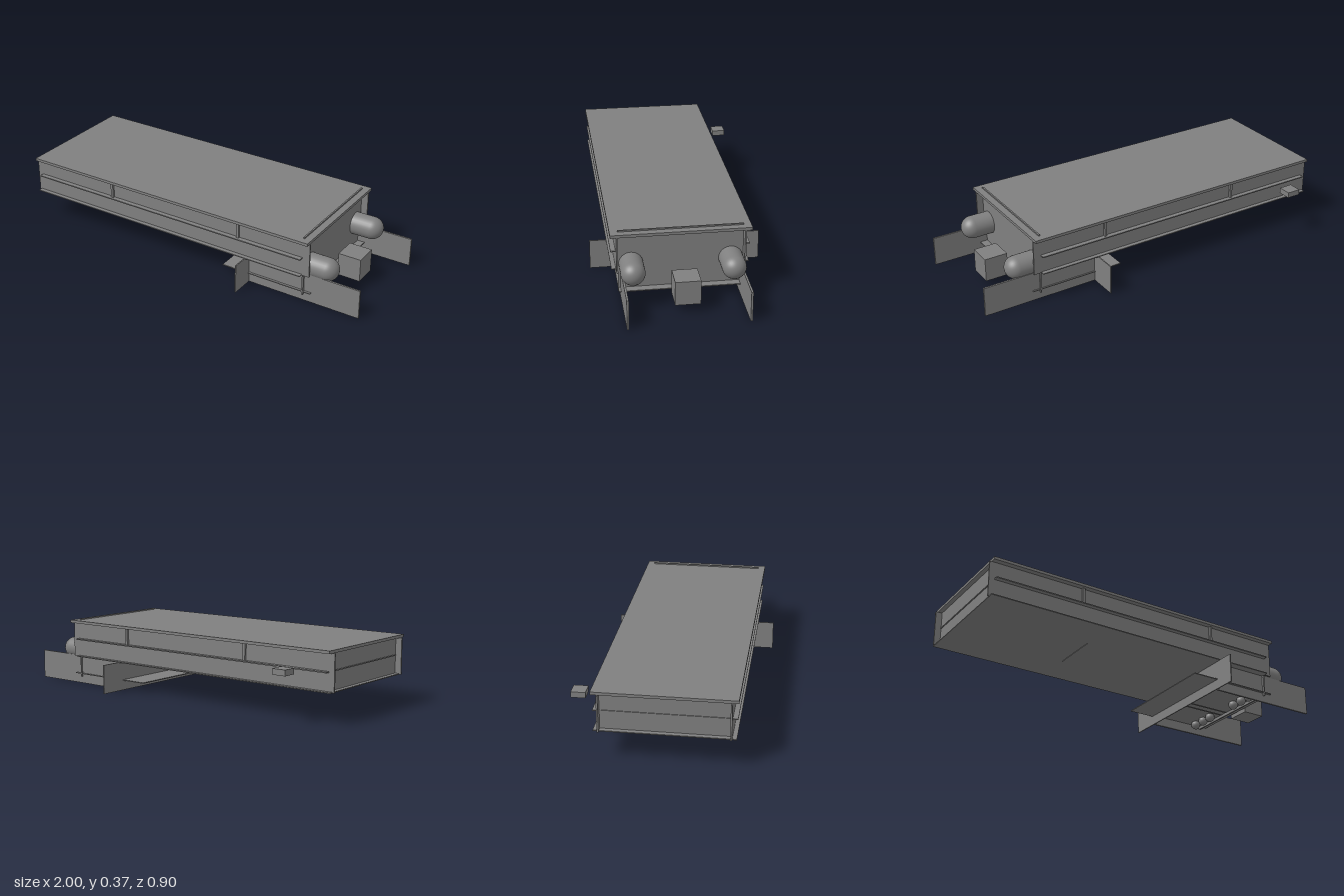
import * as THREE from 'three';

export function createModel() {
  const model = new THREE.Group();
  const grey = new THREE.MeshStandardMaterial({ color: 0x808080 });
  const ZC = 0.025; // centre line of the hull

  function add(name, geometry, x = 0, y = 0, z = 0) {
    const mesh = new THREE.Mesh(geometry, grey);
    mesh.name = name;
    mesh.position.set(x, y, z);
    model.add(mesh);
    return mesh;
  }
  // Box given by its lower and upper limits on each axis
  function box(name, x0, x1, y0, y1, z0, z1) {
    return add(name, new THREE.BoxGeometry(x1 - x0, y1 - y0, z1 - z0),
      (x0 + x1) / 2, (y0 + y1) / 2, (z0 + z1) / 2);
  }

  // Decks
  box('topDeck', -0.99, 0.73, 0.345, 0.36, -0.322, 0.372);
  box('middleDeck', -0.97, 0.69, 0.251, 0.257, -0.318, 0.368);
  box('floor', -0.99, 0.69, 0.155, 0.16, -0.315, 0.365);

  // Side walls with posts between the decks
  for (const s of [-1, 1]) {
    const wall = ZC + s * 0.314;
    box('sideWall', -1, 0.73, 0.155, 0.345, wall - 0.004, wall + 0.004);
    for (const x of [-0.475, 0.32]) {
      const z = ZC + s * 0.324;
      box('sidePost', x - 0.007, x + 0.007, 0.255, 0.345, z - 0.006, z + 0.006);
    }
  }

  // End panels
  box('bulkhead', 0.686, 0.694, 0.036, 0.367, -0.284, 0.334);
  box('endPanel', -0.966, -0.96, 0.16, 0.345, -0.285, 0.335);

  // Lower tray, cross fin and long side fins
  box('lowerTray', 0.22, 0.735, 0.052, 0.057, -0.284, 0.334);
  box('crossFin', 0.367, 0.373, 0, 0.157, -0.432, 0.45);
  for (const z of [-0.272, 0.317]) {
    box('sideFin', 0.37, 1, 0, 0.157, z - 0.005, z + 0.005);
  }

  // Rounded pods on the end
  for (const z of [-0.222, 0.27]) {
    const pod = add('pod', new THREE.CapsuleGeometry(0.06, 0.105, 12, 32), 0.7425, 0.187, z);
    pod.rotation.z = Math.PI / 2;
  }

  // Small balls and rods under the tray
  for (const z of [0.267, 0.2, 0.13, -0.087, -0.152, -0.223]) {
    add('ball', new THREE.SphereGeometry(0.026, 24, 16), 0.63, 0.037, z);
  }
  for (const z of [-0.004, 0.04]) {
    box('trayRod', 0.4, 0.65, 0.024, 0.03, z - 0.002, z + 0.002);
  }

  // Separate blocks
  box('endBlock', 0.755, 0.88, 0.043, 0.168, -0.048, 0.078);
  box('smallBlock', -0.83, -0.755, 0.24, 0.27, -0.452, -0.38);

  // Thin strip beneath the floor
  box('floorStrip', -0.335, -0.33, 0.152, 0.156, -0.1, 0.15);

  return model;
}
